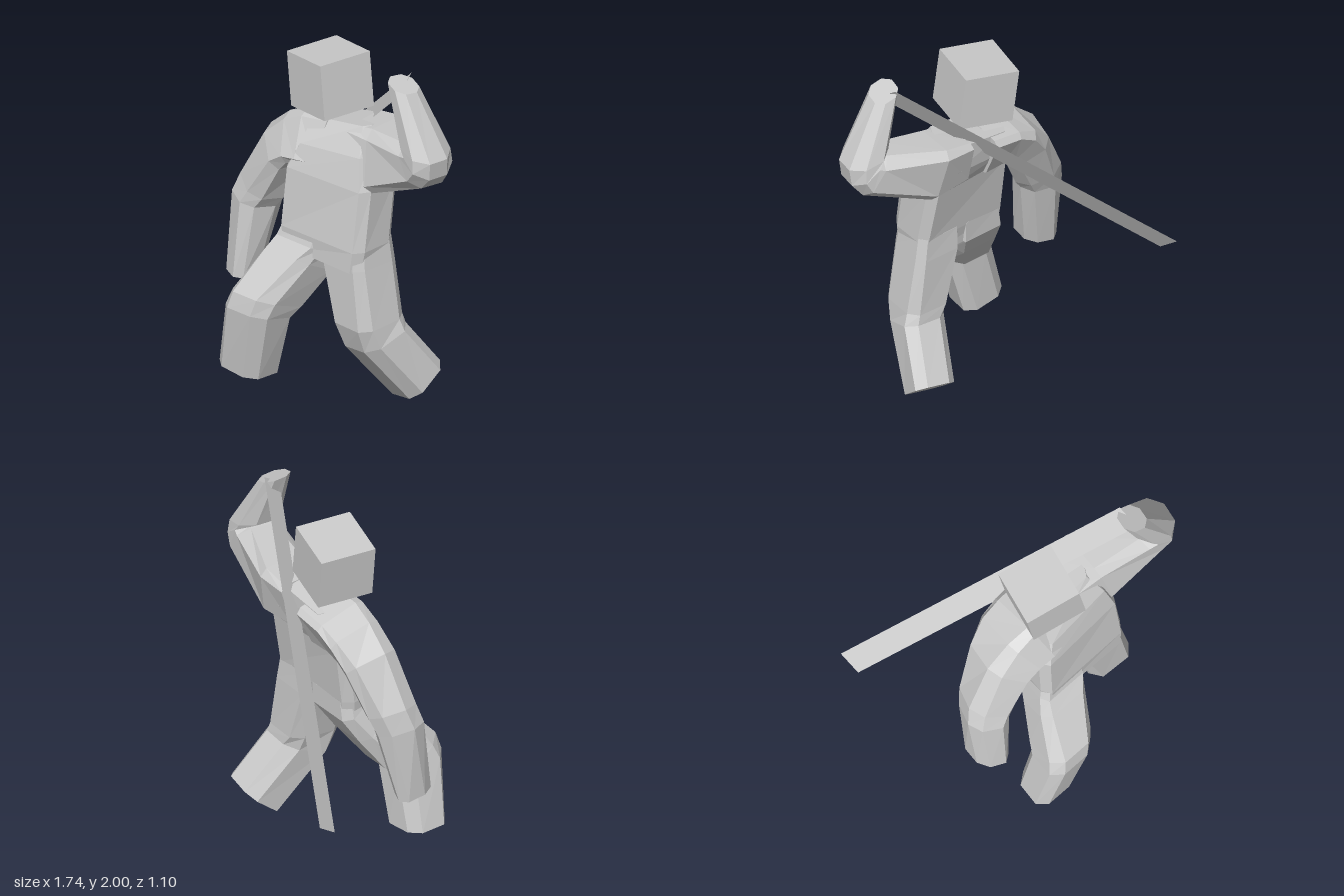
import * as THREE from 'three';

const grey = new THREE.MeshStandardMaterial({ color: 0xcccccc, flatShading: true });
const thin = new THREE.MeshStandardMaterial({ color: 0xcccccc, flatShading: true, side: THREE.DoubleSide });
const V = (p) => new THREE.Vector3(...p);

// Skins a row of chamfered rectangles, each [centre, half-width vector, half-depth vector], and caps both ends.
// flat is the share of each side left flat between the chamfers; a ring may carry its own.
function loft(name, flat, rings) {
  const axis = V(rings[1][0]).sub(V(rings[0][0]));
  const flip = V(rings[0][1]).cross(V(rings[0][2])).dot(axis) < 0 ? -1 : 1;
  const pos = [], index = [];
  for (const [c, u, v, [p, q] = flat] of rings) {
    const corners = [[1, -q], [1, q], [p, 1], [-p, 1], [-1, q], [-1, -q], [-p, -1], [p, -1]];
    for (const [s, t] of corners) {
      pos.push(...V(c).addScaledVector(V(u), s).addScaledVector(V(v), t * flip).toArray());
    }
  }
  const last = (rings.length - 1) * 8;
  for (let r = 0; r < last; r += 8) {
    for (let i = 0; i < 8; i++) {
      const j = (i + 1) % 8;
      index.push(r + i, r + j, r + 8 + j, r + i, r + 8 + j, r + 8 + i);
    }
  }
  for (let i = 1; i < 7; i++) index.push(0, i + 1, i, last, last + i, last + i + 1);
  const geo = new THREE.BufferGeometry();
  geo.setAttribute('position', new THREE.Float32BufferAttribute(pos, 3));
  geo.setIndex(index);
  geo.computeVertexNormals();
  const mesh = new THREE.Mesh(geo, grey);
  mesh.name = name;
  return mesh;
}

export function createModel() {
  const model = new THREE.Group();
  model.name = 'swordFighter';

  // Torso, turned slightly and leaning back at the shoulders
  model.add(loft('torso', [0.87, 0.62], [
    [[0.16, 0.82, 0.085], [0.265, 0, -0.05], [0.02, 0, 0.13]],
    [[0.16, 0.94, 0.075], [0.28, 0, -0.06], [0.02, 0, 0.14]],
    [[0.15, 1.28, 0.03], [0.27, 0, -0.07], [0.03, 0, 0.145]],
    [[0.15, 1.42, -0.02], [0.22, 0.02, -0.06], [0.03, 0.02, 0.15]],
    [[0.12, 1.565, -0.065], [0.19, 0.03, -0.045], [0.02, 0.01, 0.11]],
  ]));

  // Right arm, hanging
  model.add(loft('rightArm', [0.5, 0.5], [
    [[0.06, 1.42, -0.02], [-0.01, 0.135, -0.06], [0.03, 0.03, 0.145], [0.8, 0.75]],
    [[-0.08, 1.405, 0.02], [-0.04, 0.125, -0.06], [0.03, 0.03, 0.15], [0.8, 0.75]],
    [[-0.18, 1.365, 0.04], [-0.06, 0.115, -0.06], [0.02, 0.03, 0.15], [0.7, 0.7]],
    [[-0.265, 1.275, 0.07], [-0.1, 0.085, -0.05], [0, 0.03, 0.145], [0.6, 0.6]],
    [[-0.385, 1.03, 0.13], [-0.115, 0.05, -0.04], [-0.02, 0.02, 0.13]],
    [[-0.42, 0.94, 0.16], [-0.108, 0.02, -0.03], [-0.02, 0.02, 0.125]],
    [[-0.445, 0.51, 0.23], [-0.085, 0.005, -0.02], [0.01, 0.01, 0.1]],
  ]));

  // Left arm, raised and bent back to the head
  model.add(loft('leftArm', [0.45, 0.45], [
    [[0.2, 1.435, -0.055], [0, 0.145, -0.04], [0.03, 0, 0.14], [0.8, 0.75]],
    [[0.38, 1.435, -0.09], [-0.03, 0.17, -0.03], [0.02, 0, 0.15], [0.72, 0.72]],
    [[0.72, 1.53, -0.085], [-0.07, 0.105, 0], [-0.01, 0, 0.13], [0.55, 0.5]],
    [[0.765, 1.57, -0.08], [-0.09, 0.07, 0], [0, 0, 0.13]],
    [[0.75, 1.63, -0.075], [-0.117, 0.03, 0], [0, 0, 0.125]],
    [[0.61, 1.965, -0.035], [-0.07, 0.025, 0], [0, 0.01, 0.08]],
  ]));

  // Left leg, trailing
  model.add(loft('leftLeg', [0.55, 0.58], [
    [[0.3, 0.96, 0.035], [0.13, 0, -0.025], [0.01, 0, 0.135], [0.75, 0.65]],
    [[0.31, 0.83, 0.035], [0.14, 0, -0.025], [0.01, 0, 0.145], [0.75, 0.65]],
    [[0.375, 0.5, 0.02], [0.13, 0, -0.02], [0.01, -0.01, 0.152], [0.65, 0.6]],
    [[0.395, 0.4, -0.01], [0.128, 0.01, -0.02], [0, -0.05, 0.135]],
    [[0.445, 0.095, -0.24], [0.122, 0.02, -0.01], [0, -0.085, 0.1]],
  ]));

  // Right leg, stepping forward
  model.add(loft('rightLeg', [0.55, 0.58], [
    [[0.03, 0.95, 0.095], [0.135, 0, -0.03], [0.01, 0, 0.135], [0.8, 0.65]],
    [[0.02, 0.85, 0.11], [0.147, 0, -0.03], [0.01, 0.03, 0.145], [0.8, 0.65]],
    [[-0.01, 0.74, 0.19], [0.15, 0, -0.03], [0.01, 0.07, 0.13], [0.7, 0.6]],
    [[-0.07, 0.535, 0.355], [0.145, 0, -0.03], [0.01, 0.06, 0.155]],
    [[-0.09, 0.465, 0.4], [0.143, 0, -0.03], [0.01, 0.035, 0.135]],
    [[-0.18, 0.095, 0.395], [0.13, -0.015, -0.03], [0.01, 0.005, 0.115]],
  ]));

  // Block head, tilted
  const head = new THREE.Mesh(new THREE.BoxGeometry(0.315, 0.31, 0.315), grey);
  head.name = 'head';
  head.position.set(0.028, 1.772, 0.012);
  head.rotation.set(0, -0.04, 0.13);
  model.add(head);

  // Flat blade running down behind the back from the left hand
  const strip = new THREE.BufferGeometry();
  strip.setAttribute('position', new THREE.Float32BufferAttribute([
    -0.87, 0.79, -0.55, -0.83, 0.7, -0.44, 0.62, 1.91, 0, 0.58, 2, -0.11,
  ], 3));
  strip.setIndex([0, 1, 2, 0, 2, 3]);
  strip.computeVertexNormals();
  const blade = new THREE.Mesh(strip, thin);
  blade.name = 'blade';
  model.add(blade);

  return model;
}
